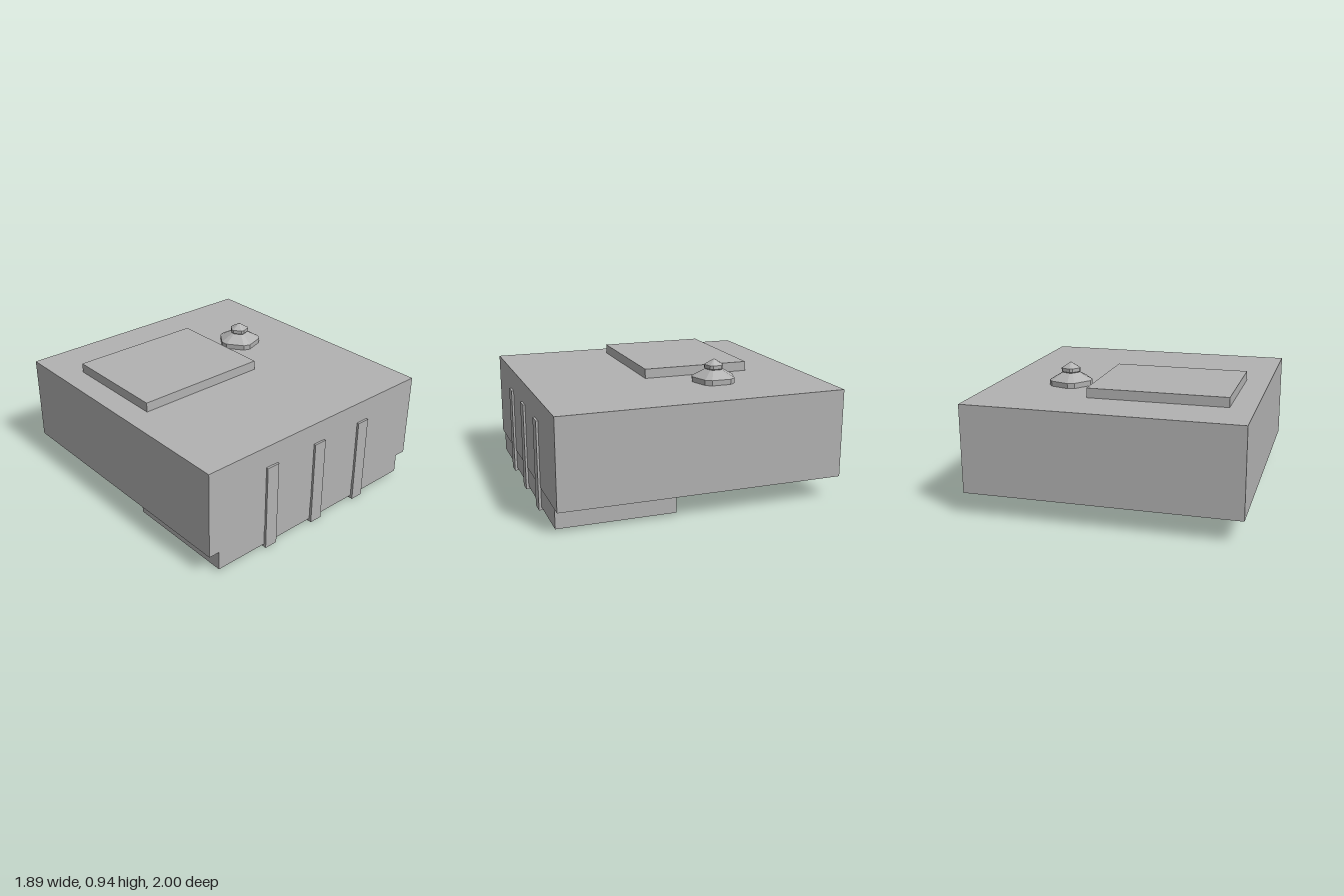
import * as THREE from 'three';

const stone = new THREE.MeshStandardMaterial({ color: 0xb2b2b2 });
stone.name = 'grey';

// Box given by its minimum and maximum corners
function block(name, [x0, y0, z0], [x1, y1, z1]) {
  const geometry = new THREE.BoxGeometry(x1 - x0, y1 - y0, z1 - z0);
  geometry.translate((x0 + x1) / 2, (y0 + y1) / 2, (z0 + z1) / 2);
  const mesh = new THREE.Mesh(geometry, stone);
  mesh.name = name;
  return mesh;
}

// Pentagon with cut corners, one corner pointing to -x; r is the corner reach
function ring(r, y) {
  const points = [];
  const side = 0.165 * r;
  for (let i = 0; i < 5; i++) {
    const a = Math.PI + i * Math.PI * 2 / 5;
    for (const s of [-side, side]) {
      points.push([r * Math.cos(a) - s * Math.sin(a), y, r * Math.sin(a) + s * Math.cos(a)]);
    }
  }
  return points;
}

// Faceted skin over stacked rings, closed by a point at the top
function facetedCap(name, profile, top) {
  const rings = profile.map(([r, y]) => ring(r, y));
  const apex = [0, top, 0];
  const positions = [];
  const n = rings[0].length;
  for (let j = 0; j < n; j++) {
    const k = (j + 1) % n;
    for (let i = 0; i < rings.length - 1; i++) {
      const a = rings[i], b = rings[i + 1];
      positions.push(...a[j], ...b[j], ...b[k], ...a[j], ...b[k], ...a[k]);
    }
    const last = rings[rings.length - 1];
    positions.push(...last[j], ...apex, ...last[k]);
  }
  const geometry = new THREE.BufferGeometry();
  geometry.setAttribute('position', new THREE.Float32BufferAttribute(positions, 3));
  geometry.computeVertexNormals();
  const mesh = new THREE.Mesh(geometry, stone);
  mesh.name = name;
  return mesh;
}

export function createModel() {
  const model = new THREE.Group();
  model.name = 'building';

  // Main mass, lower front storey and raised roof slab
  model.add(block('mainBody', [-0.945, 0.16, -1], [0.945, 0.775, 0.985]));
  model.add(block('lowerStorey', [-0.865, 0.022, 0.17], [0.865, 0.16, 0.982]));
  model.add(block('roofSlab', [-0.775, 0.775, -0.625], [0.19, 0.842, 0.15]));

  // Ribs wrapping up the front and under the lower storey
  for (const x of [-0.427, 0, 0.422]) {
    model.add(block('rib', [x - 0.048, 0, 0.155], [x + 0.048, 0.622, 1]));
  }

  // Roof turret: drum and sloped roof, then a small lantern
  const turret = new THREE.Group();
  turret.name = 'turret';
  turret.position.set(0.42, 0, -0.275);
  turret.add(facetedCap('turretRoof', [[0.15, 0.765], [0.152, 0.812], [0.06, 0.863]], 0.87));
  turret.add(facetedCap('lantern', [[0.055, 0.86], [0.066, 0.87], [0.066, 0.895]], 0.935));
  model.add(turret);

  return model;
}
